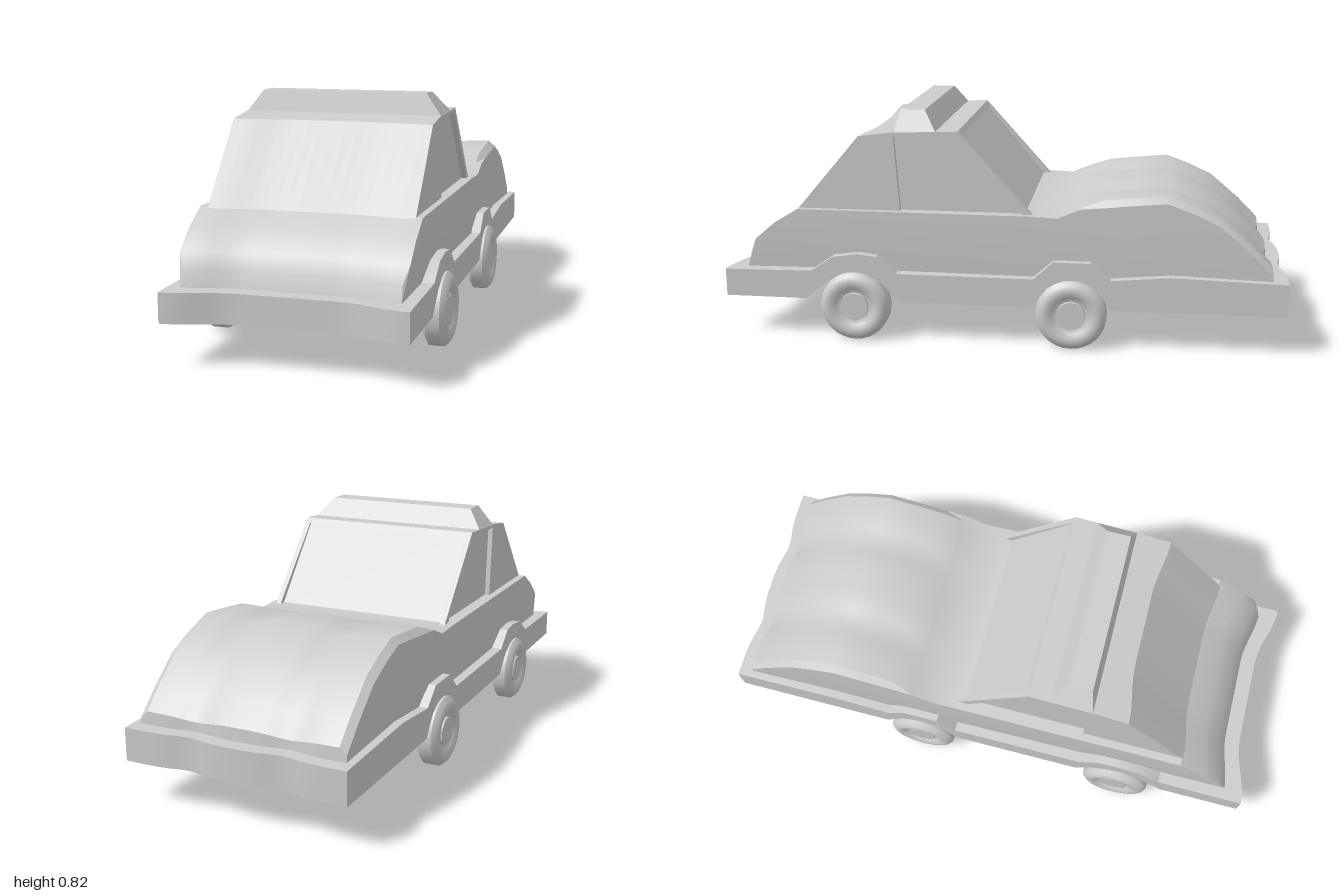
import * as THREE from 'three';
import { toCreasedNormals } from 'three/addons/utils/BufferGeometryUtils.js';

const material = new THREE.MeshStandardMaterial({ color: 0xcccccc, side: THREE.DoubleSide });

function addMesh(group, name, geometry) {
  const mesh = new THREE.Mesh(geometry, material);
  mesh.name = name;
  group.add(mesh);
  return mesh;
}

// Extrude a side profile of [z, y] points across the width, then bend it by a rule
function acrossWidth(profile, half, steps = 1, rule = null) {
  const shape = new THREE.Shape(profile.map(([z, y]) => new THREE.Vector2(z, y)));
  const geo = new THREE.ExtrudeGeometry(shape, { depth: half * 2, steps, bevelEnabled: false });
  geo.translate(0, 0, -half);
  geo.rotateY(-Math.PI / 2);
  if (rule) {
    const pos = geo.attributes.position;
    const v = new THREE.Vector3();
    for (let i = 0; i < pos.count; i++) {
      v.fromBufferAttribute(pos, i);
      rule(v, v.x / half);
      pos.setXYZ(i, v.x, v.y, v.z);
    }
  }
  return toCreasedNormals(geo, 0.5);
}

// Soft hollow in the middle of the front, and twin grooves across the bonnet
const hollow = (u) => 0.5 + 0.5 * Math.cos(Math.PI * Math.min(1, Math.max(0, (Math.abs(u) - 0.4) / 0.6)));
const groove = (x) => Math.exp(-(((Math.abs(x) - 0.17) / 0.07) ** 2));

export function createModel() {
  const car = new THREE.Group();
  car.name = 'car';

  // Skirt with raised wheel arches
  const skirt = [
    [1, 0.145], [1, 0.245], [0.68, 0.25], [0.6, 0.305], [0.51, 0.318], [0.44, 0.31], [0.37, 0.25],
    [-0.12, 0.25], [-0.19, 0.315], [-0.32, 0.315], [-0.39, 0.255], [-0.6, 0.275], [-1, 0.265],
    [-1, 0.15], [-0.4, 0.145], [-0.34, 0.22], [-0.29, 0.245], [-0.22, 0.245], [-0.17, 0.22], [-0.11, 0.145],
    [0.36, 0.145], [0.43, 0.22], [0.48, 0.24], [0.56, 0.24], [0.62, 0.215], [0.7, 0.145],
  ];
  addMesh(car, 'skirt', acrossWidth(skirt, 0.402, 20, (v, u) => {
    if (v.z > 0.9) v.z -= 0.05 * hollow(u);
    if (v.z < -0.9) v.z += 0.018 * groove(v.x);
  }));

  // Lower body with the sloped front and the humped bonnet at the other end
  const body = [
    [0.93, 0.243], [0.915, 0.3], [0.89, 0.355], [0.82, 0.415], [0.73, 0.47],
    [-0.1, 0.47], [-0.2, 0.466], [-0.28, 0.5], [-0.36, 0.53], [-0.47, 0.542], [-0.58, 0.552],
    [-0.67, 0.52], [-0.76, 0.478], [-0.87, 0.385], [-0.945, 0.31], [-0.95, 0.25],
  ];
  addMesh(car, 'body', acrossWidth(body, 0.375, 30, (v, u) => {
    const edge = Math.abs(u) > 0.99;
    if (v.z > 0.5) v.z -= 0.035 * hollow(u);
    if (v.z < -0.9) v.z += 0.015 * groove(v.x);
    if (v.z < -0.3 && v.y > 0.28) v.y -= 0.014 * groove(v.x) + (edge ? 0.022 : 0);
    if (edge && v.y < 0.32 && v.z > 0) v.x *= 0.955;
  }));

  // Cabin: recessed window core, solid front quarter, roof slab and screen pillars
  const cabin = new THREE.Group();
  cabin.name = 'cabin';
  cabin.position.x = 0.003;
  car.add(cabin);
  const bend = (v, u) => { if (v.z > 0.45) v.z -= 0.025 * hollow(u); };
  addMesh(cabin, 'windows', acrossWidth(
    [[0.4, 0.46], [0.4, 0.74], [0.145, 0.745], [-0.093, 0.46]], 0.332));
  addMesh(cabin, 'frontQuarter', acrossWidth(
    [[0.735, 0.465], [0.505, 0.735], [0.38, 0.752], [0.36, 0.465]], 0.35, 16, bend));
  addMesh(cabin, 'roof', acrossWidth(
    [[0.385, 0.751], [0.15, 0.76], [0.137, 0.742], [0.385, 0.738]], 0.35));
  for (const side of [-1, 1]) {
    const pillar = addMesh(cabin, 'screenPillar', acrossWidth(
      [[0.15, 0.76], [-0.115, 0.465], [-0.08, 0.465], [0.165, 0.742]], 0.01));
    pillar.position.x = side * 0.34;
  }

  // Roof sign, narrowing towards its top
  addMesh(cabin, 'roofSign', acrossWidth(
    [[0.378, 0.75], [0.36, 0.825], [0.275, 0.825], [0.228, 0.755]], 0.35, 1, (v) => {
      if (v.y > 0.8) v.x *= 0.84;
    }));

  // Wheels with a rounded tyre wall around a hub
  const tyre = [
    [0, 0.35], [0.108, 0.35], [0.125, 0.363], [0.125, 0.41], [0.112, 0.424], [0.1, 0.43],
    [0.085, 0.43], [0.068, 0.422], [0.055, 0.412], [0.051, 0.412], [0.05, 0.422], [0, 0.422],
  ].map(([r, h]) => new THREE.Vector2(r, h));
  const wheel = toCreasedNormals(new THREE.LatheGeometry(tyre, 32), 0.7);
  wheel.rotateZ(-Math.PI / 2);
  for (const z of [0.522, -0.255]) {
    for (const side of [-1, 1]) {
      const mesh = addMesh(car, z > 0 ? 'frontWheel' : 'rearWheel', wheel);
      mesh.position.set(0, 0.126, z);
      if (side < 0) mesh.rotation.y = Math.PI;
    }
  }
  return car;
}
